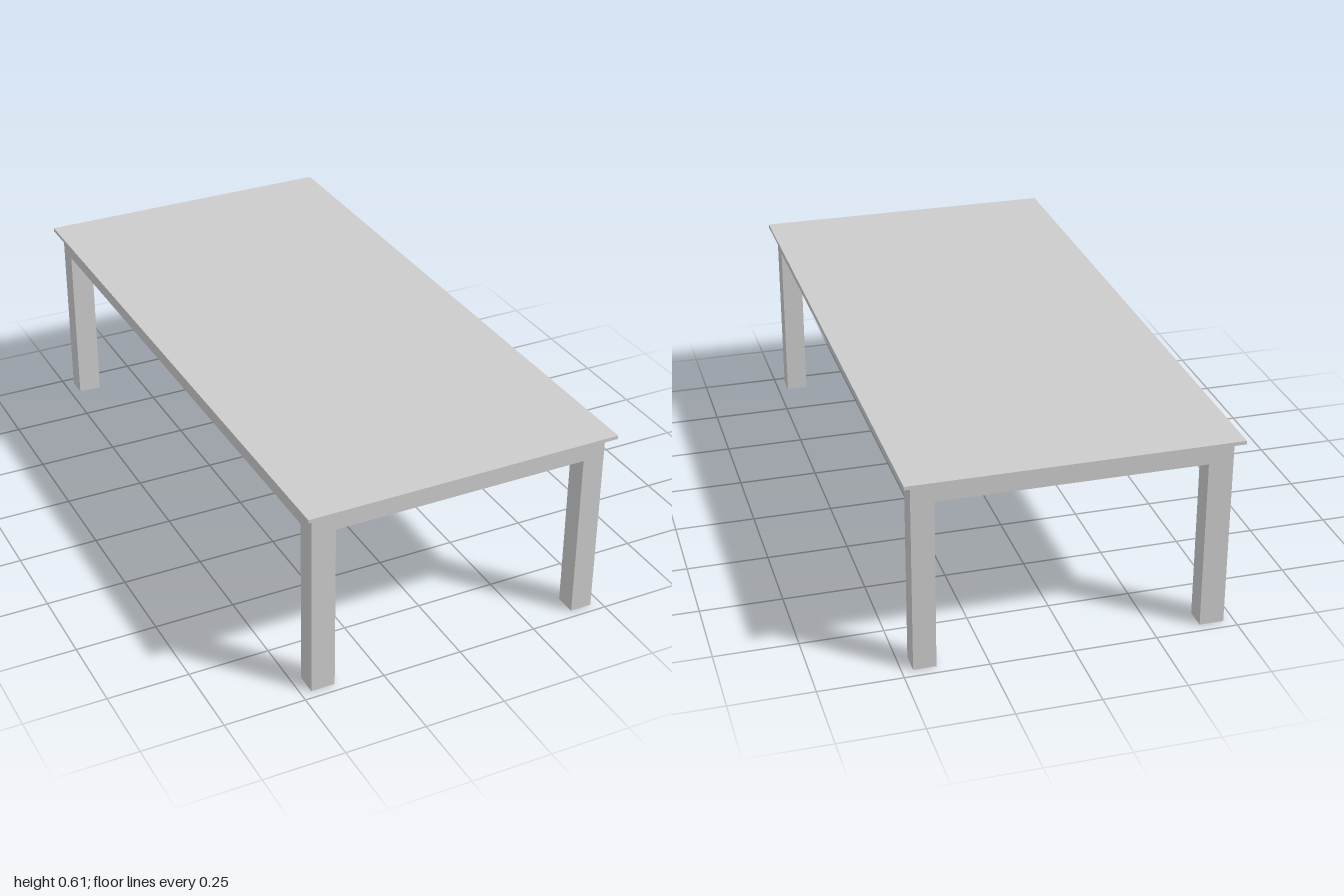
import * as THREE from 'three';

export function createModel() {
  const table = new THREE.Group();
  table.name = 'table';
  const material = new THREE.MeshStandardMaterial({ color: 0xcccccc, flatShading: true });

  // Box given by its lower and upper bounds on each axis
  const addBox = (name, [x0, x1], [y0, y1], [z0, z1]) => {
    const mesh = new THREE.Mesh(new THREE.BoxGeometry(x1 - x0, y1 - y0, z1 - z0), material);
    mesh.position.set((x0 + x1) / 2, (y0 + y1) / 2, (z0 + z1) / 2);
    mesh.name = name;
    table.add(mesh);
  };

  // Thin overhanging top
  addBox('tableTop', [-0.491, 0.491], [0.595, 0.606], [-1, 1]);

  // Solid frame under the top, flush with the legs
  addBox('apron', [-0.468, 0.467], [0.53, 0.595], [-0.969, 0.972]);

  // Four square legs at the corners of the frame
  const sidesX = { Right: [-0.468, -0.394], Left: [0.399, 0.467] };
  const sidesZ = { front: [0.905, 0.972], back: [-0.969, -0.902] };
  for (const [zName, z] of Object.entries(sidesZ)) {
    for (const [xName, x] of Object.entries(sidesX)) {
      addBox(`${zName}${xName}Leg`, x, [0, 0.53], z);
    }
  }

  return table;
}
